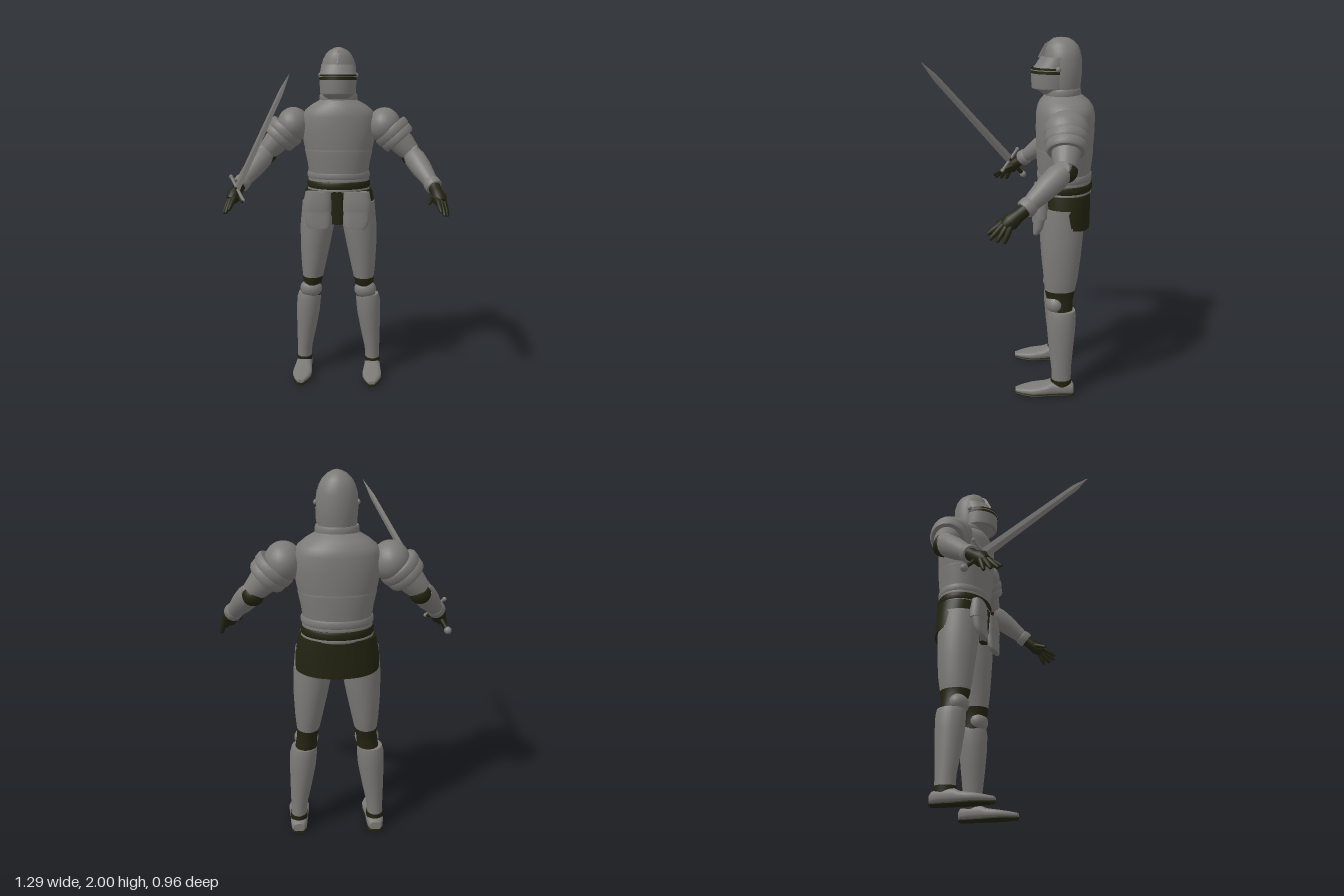
import * as THREE from 'three';

const steel = new THREE.MeshStandardMaterial({ color: 0x7c7a77 });
steel.name = 'steel';
const leather = new THREE.MeshStandardMaterial({ color: 0x222310 });
leather.name = 'dark leather';
const UP = new THREE.Vector3(0, 1, 0);
const V = (x, y, z) => new THREE.Vector3(x, y, z);

// Closed skin over elliptical rings [y, x, z, rx, rz, tilt], listed with rising y
function loft(rings, n = 32, e = 2) {
  const pos = [], idx = [];
  const pw = (v) => Math.sign(v) * Math.abs(v) ** (2 / e);
  const ring = ([y, x, z, rx, rz, tilt = 0]) => {
    for (let j = 0; j < n; j++) {
      const a = (j / n) * Math.PI * 2, dz = rz * pw(Math.sin(a));
      pos.push(x + rx * pw(Math.cos(a)), y + tilt * dz, z + dz);
    }
  };
  rings.forEach(ring);
  for (let i = 0; i < rings.length - 1; i++) for (let j = 0; j < n; j++) {
    const k = (j + 1) % n, a = i * n + j, b = i * n + k;
    idx.push(a, a + n, b, b, a + n, b + n);
  }
  // end caps with their own corners, so the rims stay sharp
  [rings[0], rings[rings.length - 1]].forEach((r, top) => {
    const s = pos.length / 3;
    ring(r);
    pos.push(r[1], r[0], r[2]);
    for (let j = 0; j < n; j++) {
      const k = (j + 1) % n;
      if (top) idx.push(s + n, s + k, s + j); else idx.push(s + n, s + j, s + k);
    }
  });
  const g = new THREE.BufferGeometry();
  g.setAttribute('position', new THREE.Float32BufferAttribute(pos, 3));
  g.setIndex(idx);
  g.computeVertexNormals();
  return g;
}

function add(parent, name, geo, mat = steel) {
  const m = new THREE.Mesh(geo, mat);
  m.name = name;
  parent.add(m);
  return m;
}

// Round part along a line from a to b; profile of [distance fraction, radius]
function limb(parent, name, a, b, profile, mat = steel, n = 20) {
  const d = b.clone().sub(a), len = d.length();
  const m = add(parent, name, loft(profile.map(([t, r]) => [t * len, 0, 0, r, r]), n), mat);
  m.position.copy(a);
  m.quaternion.setFromUnitVectors(UP, d.normalize());
  return m;
}

function ball(parent, name, p, sx, sy, sz, mat = steel) {
  const m = add(parent, name, new THREE.SphereGeometry(1, 24, 16), mat);
  m.position.copy(p);
  m.scale.set(sx, sy, sz);
  return m;
}

// Short horizontal hoop with softened edges
function band(parent, name, y0, y1, z, rx, rz, mat = steel) {
  const h = (y1 - y0) * 0.25;
  return add(parent, name, loft([[y0, 0, z, rx - 0.005, rz - 0.005], [y0 + h, 0, z, rx, rz],
    [y1 - h, 0, z, rx, rz], [y1, 0, z, rx - 0.005, rz - 0.005]], 40), mat);
}

function buildTorso(g) {
  add(g, 'breastplate', loft([[1.39, 0, -0.318, 0.197, 0.153], [1.44, 0, -0.318, 0.208, 0.157],
    [1.52, 0, -0.318, 0.222, 0.16], [1.6, 0, -0.318, 0.22, 0.159], [1.64, 0, -0.316, 0.198, 0.15],
    [1.67, 0, -0.312, 0.16, 0.132], [1.695, 0, -0.305, 0.115, 0.105], [1.71, 0, -0.3, 0.1, 0.09]], 48, 2.1));
  add(g, 'waistPlate', loft([[1.25, 0, -0.318, 0.176, 0.144], [1.33, 0, -0.318, 0.187, 0.151],
    [1.4, 0, -0.318, 0.202, 0.157], [1.412, 0, -0.318, 0.2, 0.155]], 48, 2.1));
  band(g, 'upperHoop', 1.238, 1.278, -0.32, 0.188, 0.152);
  band(g, 'lowerHoop', 1.212, 1.245, -0.32, 0.182, 0.148);
  band(g, 'belt', 1.18, 1.222, -0.32, 0.19, 0.156, leather);
  band(g, 'hipHoop', 1.16, 1.185, -0.32, 0.188, 0.152);
  add(g, 'skirt', loft([[0.995, 0, -0.324, 0.222, 0.143, -0.0], [0.998, 0, -0.324, 0.222, 0.143, 0.19],
    [1.08, 0, -0.324, 0.218, 0.143], [1.17, 0, -0.322, 0.2, 0.144]].slice(1), 40, 2.2), leather);
  add(g, 'skirtFront', loft([[0.97, 0, -0.2, 0.032, 0.02], [1.17, 0, -0.19, 0.036, 0.022]], 16, 4), leather);
  for (const s of [1, -1]) {
    add(g, 'upperTasset', loft([[1.05, s * 0.118, -0.19, 0.084, 0.04], [1.1, s * 0.118, -0.19, 0.084, 0.042],
      [1.168, s * 0.112, -0.19, 0.077, 0.032]], 28, 2.6));
    add(g, 'lowerTasset', loft([[0.95, s * 0.108, -0.162, 0.055, 0.015], [0.965, s * 0.11, -0.168, 0.068, 0.022],
      [1.0, s * 0.114, -0.178, 0.077, 0.03], [1.07, s * 0.116, -0.188, 0.08, 0.036]], 28, 2.6));
  }
}

function buildHead(g) {
  band(g, 'gorget', 1.69, 1.735, -0.3, 0.112, 0.1);
  add(g, 'helmet', loft([[1.69, 0, -0.295, 0.085, 0.085], [1.74, 0, -0.298, 0.1, 0.097],
    [1.82, 0, -0.299, 0.105, 0.103], [1.89, 0, -0.299, 0.102, 0.1], [1.93, 0, -0.297, 0.09, 0.093],
    [1.96, 0, -0.294, 0.073, 0.082], [1.982, 0, -0.29, 0.05, 0.062], [1.995, 0, -0.288, 0.025, 0.042],
    [2, 0, -0.287, 0.006, 0.015]], 40));
  add(g, 'chinGuard', loft([[1.705, 0, -0.265, 0.075, 0.075], [1.74, 0, -0.25, 0.098, 0.105]]));
  add(g, 'visor', loft([[1.733, 0, -0.242, 0.1, 0.106], [1.74, 0, -0.242, 0.104, 0.11],
    [1.816, 0, -0.242, 0.107, 0.112]], 40));
  add(g, 'eyeSlit', loft([[1.814, 0, -0.242, 0.108, 0.113], [1.845, 0, -0.242, 0.107, 0.111]], 40), leather);
  add(g, 'slitBar', loft([[1.829, 0, -0.242, 0.109, 0.114], [1.834, 0, -0.242, 0.109, 0.114]], 40));
  add(g, 'brow', loft([[1.843, 0, -0.245, 0.107, 0.108], [1.853, 0, -0.25, 0.105, 0.1],
    [1.9, 0, -0.27, 0.099, 0.09]], 40));
  // thin crest standing on the front of the skull
  const crest = new THREE.Shape([[-0.165, 1.895], [-0.21, 1.885], [-0.26, 1.985], [-0.232, 1.984], [-0.2, 1.965]]
    .map(([a, b]) => new THREE.Vector2(a, b)));
  add(g, 'crest', new THREE.ExtrudeGeometry(crest, { depth: 0.006, bevelEnabled: false })
    .translate(0, 0, -0.003).rotateY(-Math.PI / 2));
  for (const s of [1, -1]) ball(g, 'visorPivot', V(s * 0.107, 1.84, -0.27), 0.01, 0.014, 0.014);
}

function buildLeg(g, s) {
  const part = (name, rings, mat, e) =>
    add(g, name, loft(rings.map(([y, x, ...r]) => [y, s * x, ...r]), 28, e), mat);
  part('thighPlate', [[0.62, 0.157, -0.3, 0.061, 0.083], [0.7, 0.152, -0.303, 0.074, 0.096],
    [0.82, 0.142, -0.305, 0.09, 0.108], [0.95, 0.129, -0.305, 0.103, 0.118], [1.1, 0.118, -0.308, 0.1, 0.118]]);
  part('kneeStrap', [[0.49, 0.172, -0.308, 0.06, 0.066], [0.56, 0.165, -0.302, 0.056, 0.07],
    [0.6, 0.159, -0.3, 0.058, 0.08], [0.628, 0.157, -0.3, 0.063, 0.085]], leather);
  ball(g, 'kneecap', V(s * 0.167, 0.55, -0.275), 0.067, 0.058, 0.055);
  part('shinPlate', [[0.095, 0.215, -0.315, 0.044, 0.056], [0.16, 0.212, -0.314, 0.046, 0.056],
    [0.28, 0.2, -0.311, 0.06, 0.069], [0.4, 0.189, -0.31, 0.072, 0.08], [0.48, 0.184, -0.31, 0.074, 0.082],
    [0.515, 0.18, -0.31, 0.068, 0.077]]);
  part('ankle', [[0.05, 0.215, -0.315, 0.046, 0.058], [0.1, 0.215, -0.315, 0.048, 0.06]], leather);
  // shoe rings run from heel to toe: [along, half width, underside, top]
  const foot = [[0, 0.03, 0.012, 0.06], [0.012, 0.042, 0.01, 0.075], [0.06, 0.048, 0.01, 0.085],
    [0.13, 0.05, 0.01, 0.085], [0.16, 0.054, 0.01, 0.07], [0.2, 0.058, 0.01, 0.062], [0.24, 0.058, 0.01, 0.055],
    [0.29, 0.042, 0.012, 0.046], [0.335, 0.02, 0.016, 0.036]];
  const shoe = (name, f, mat) => {
    const m = add(g, name, loft(foot.map(f), 24, 2.8), mat);
    m.rotation.x = Math.PI / 2;
    m.position.set(s * 0.215, 0, -0.387);
  };
  shoe('shoe', ([a, w, lo, hi]) => [a, 0, -(lo + hi) / 2, w, (hi - lo) / 2]);
  shoe('sole', ([a, w]) => [a, 0, -0.008, w * 0.97, 0.008], leather);
}

function buildArm(g, s) {
  const P = (x, y, z) => V(s * x, y, z);
  const shoulder = P(0.265, 1.57, -0.31), elbow = P(0.43, 1.39, -0.295), wrist = P(0.56, 1.215, -0.09);
  const along = (t) => shoulder.clone().lerp(elbow, t);
  ball(g, 'shoulderPlate', P(0.27, 1.55, -0.307), 0.098, 0.105, 0.115);
  for (const [t, r] of [[0.22, 0.113], [0.4, 0.106]])
    limb(g, 'shoulderBand', along(t), along(t + 0.22),
      [[0, r - 0.008], [0.2, r], [0.75, r - 0.002], [1, r - 0.012]], steel, 28);
  limb(g, 'upperArm', along(0.3), elbow, [[0, 0.08], [0.6, 0.072], [1, 0.058]]);
  ball(g, 'elbowJoint', P(0.428, 1.375, -0.3), 0.057, 0.057, 0.057, leather);
  limb(g, 'elbowPlate', P(0.425, 1.385, -0.285), P(0.478, 1.405, -0.275), [[0, 0.05], [0.6, 0.05], [1, 0.035]]);
  limb(g, 'forearm', elbow, wrist, [[0.06, 0.055], [0.2, 0.063], [0.45, 0.06], [0.85, 0.043], [1, 0.043]]);
  limb(g, 'cuff', elbow.clone().lerp(wrist, 0.84), wrist, [[0, 0.044], [0.2, 0.049], [0.85, 0.05], [1, 0.046]]);
  // glove: palm, then tapering fingers from knuckle to tip
  limb(g, 'palm', wrist, P(0.592, 1.145, 0.0), [[-0.1, 0.035], [0.3, 0.034], [0.75, 0.043], [1.05, 0.03]], leather);
  const fingers = [[0.575, 1.155, 0.018, 0.592, 1.1, 0.09], [0.594, 1.145, 0.018, 0.612, 1.08, 0.078],
    [0.61, 1.14, 0.002, 0.63, 1.072, 0.045], [0.615, 1.135, -0.018, 0.634, 1.066, 0.008],
    [0.56, 1.18, -0.045, 0.522, 1.14, 0.045]];
  for (const f of fingers)
    limb(g, 'finger', P(...f.slice(0, 3)), P(...f.slice(3)),
      [[-0.2, 0.012], [0, 0.016], [0.6, 0.013], [0.93, 0.01], [1, 0.004]], leather, 10);
}

function buildSword(g) {
  // local y runs from pommel to point, local x along the guard
  const base = V(-0.625, 1.1, -0.1), dir = V(-0.19, 1.85, 0.48).sub(base);
  const len = dir.length(), y = dir.normalize(), x = V(0.09, -0.13, 0.1);
  x.addScaledVector(y, -x.dot(y)).normalize();
  g.quaternion.setFromRotationMatrix(new THREE.Matrix4().makeBasis(x, y, x.clone().cross(y)));
  g.position.copy(base);
  const blade = loft([[0.15, 0, 0, 0.028, 0.007], [len * 0.88, 0, 0, 0.019, 0.005], [len, 0, 0, 0.001, 0.001]], 4)
    .toNonIndexed();
  blade.computeVertexNormals();
  add(g, 'blade', blade);
  add(g, 'grip', new THREE.CylinderGeometry(0.012, 0.011, 0.16, 12).translate(0, 0.08, 0), leather);
  add(g, 'pommel', new THREE.SphereGeometry(0.021, 16, 12));
  add(g, 'guard', new THREE.CylinderGeometry(0.009, 0.009, 0.17, 10).rotateZ(Math.PI / 2).translate(0, 0.152, 0));
  for (const s of [1, -1]) add(g, 'guardEnd', new THREE.SphereGeometry(0.012, 12, 8).translate(s * 0.087, 0.152, 0));
}

export function createModel() {
  const model = new THREE.Group();
  model.name = 'armouredFigure';
  const group = (name, build, s) => {
    const g = new THREE.Group();
    g.name = name;
    build(g, s);
    model.add(g);
  };
  group('torso', buildTorso);
  group('head', buildHead);
  for (const [side, s] of [['left', 1], ['right', -1]]) {
    group(side + 'Leg', buildLeg, s);
    group(side + 'Arm', buildArm, s);
  }
  group('sword', buildSword);
  return model;
}
